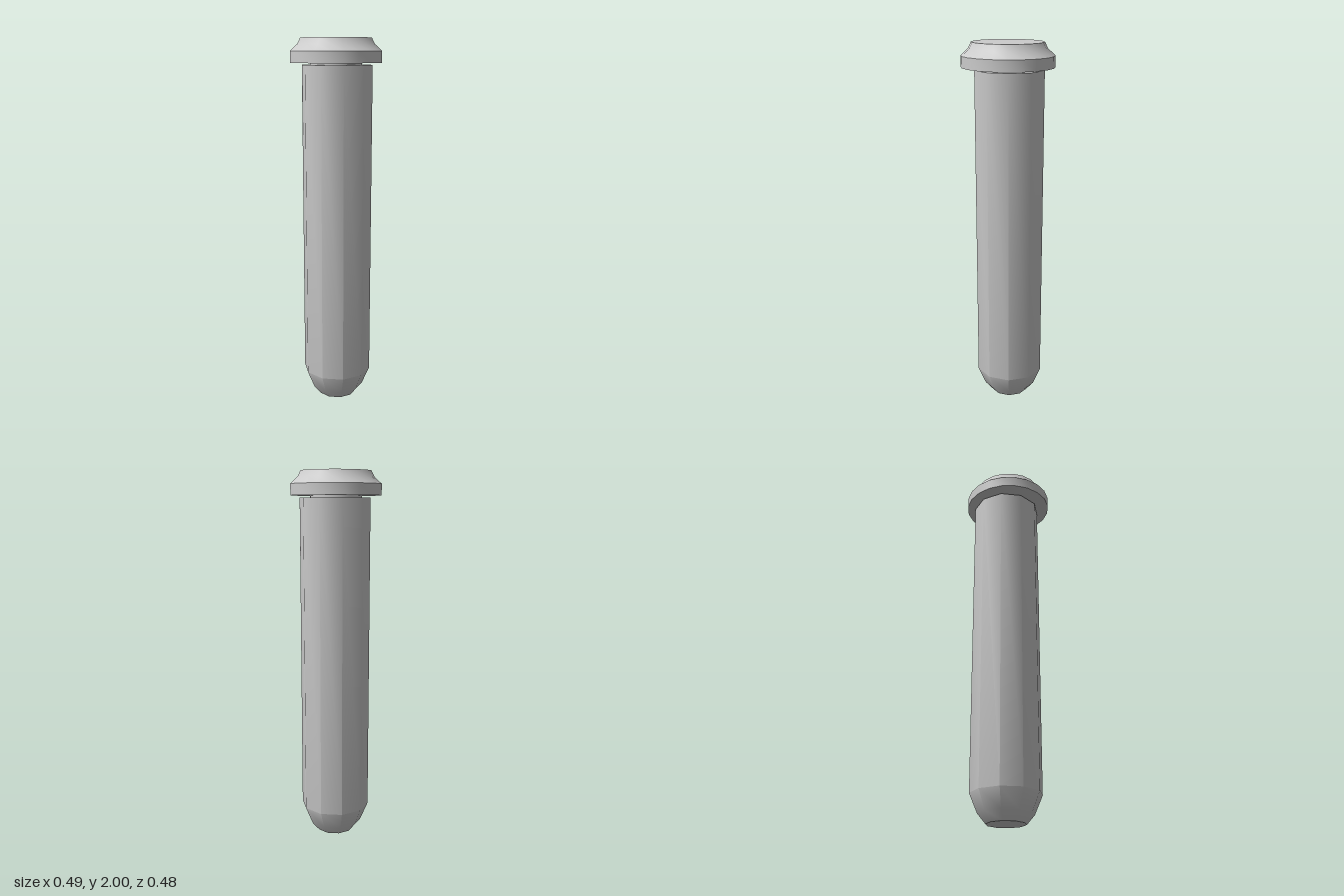
import * as THREE from 'three';
import { toCreasedNormals } from 'three/addons/utils/BufferGeometryUtils.js';

const material = new THREE.MeshStandardMaterial({ color: 0xcccccc });

// Turned part from [radius, height] pairs, bottom to top, with crisp rims.
function turned(name, profile, sides) {
  const points = profile.map(([r, y]) => new THREE.Vector2(r, y));
  const geometry = toCreasedNormals(new THREE.LatheGeometry(points, sides), 0.7);
  const mesh = new THREE.Mesh(geometry, material);
  mesh.name = name;
  return mesh;
}

export function createModel() {
  const model = new THREE.Group();
  model.name = 'pin';

  // Shaft with a rounded, blunt tip, set slightly off the head's axis
  const shaft = turned('shaft', [
    [0, 0], [0.104, 0], [0.146, 0.05], [0.188, 0.15], [0.188, 1.862], [0, 1.862],
  ], 10);
  shaft.position.set(0.0105, 0, -0.0025);

  // Narrow neck in the gap under the head
  const neck = turned('neck', [[0, 1.84], [0.137, 1.84], [0.137, 1.89], [0, 1.89]], 20);

  // Flanged head: rim, flared shoulder and flat top
  const head = turned('head', [
    [0, 1.873], [0.245, 1.873], [0.245, 1.932], [0.206, 1.968], [0.19, 2], [0, 2],
  ], 20);
  head.scale.z = 0.976;

  model.add(shaft, neck, head);
  return model;
}
